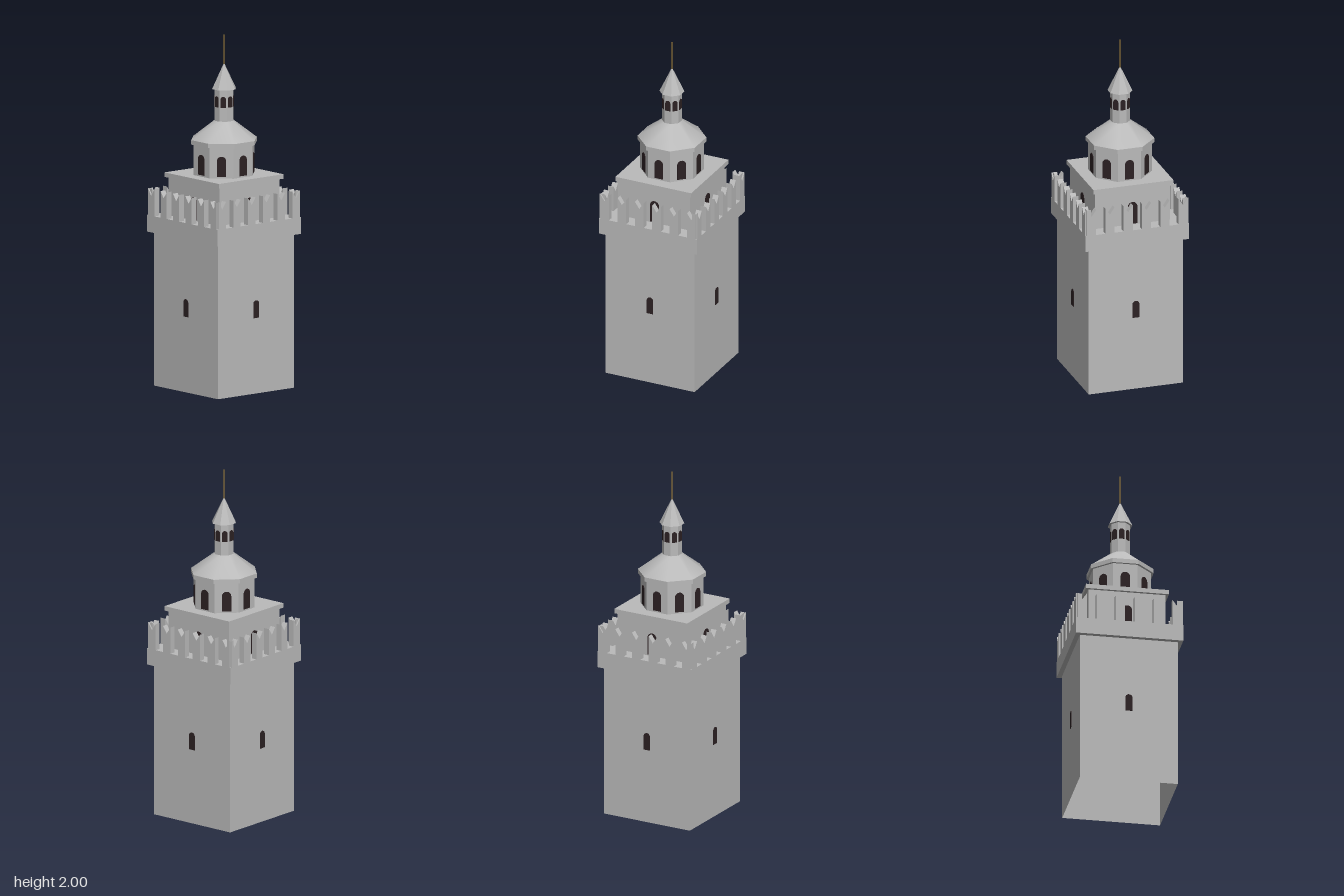
import * as THREE from 'three';

export function createModel() {
  const model = new THREE.Group();
  model.name = 'tower';

  const mat = (name, color, extra = {}) => {
    const m = new THREE.MeshStandardMaterial({ color, ...extra });
    m.name = name;
    return m;
  };
  const stone = mat('grey stone', 0xbababa, { side: THREE.DoubleSide });
  const dark = mat('dark opening', 0x2c2123);
  const gold = mat('gold', 0xb08a3c);

  const add = (name, geometry, material, y = 0, parent = model) => {
    const mesh = new THREE.Mesh(geometry, material);
    mesh.name = name;
    mesh.position.y = y;
    parent.add(mesh);
    return mesh;
  };

  // Square block between two heights
  const block = (name, half, y0, y1) =>
    add(name, new THREE.BoxGeometry(half * 2, y1 - y0, half * 2), stone, (y0 + y1) / 2);

  // Eight-sided frustum with flat sides facing the axes, sized by apothem
  const octagon = (name, bottom, top, y0, y1, smooth = false) => {
    const k = 1 / Math.cos(Math.PI / 8);
    let g = new THREE.CylinderGeometry(top * k, bottom * k, y1 - y0, 8, 1);
    g.rotateY(Math.PI / 8);
    if (!smooth) {
      g = g.toNonIndexed();
      g.computeVertexNormals();
    }
    return add(name, g, stone, (y0 + y1) / 2);
  };

  // Thin round-headed openings repeated around the tower
  const archRing = (name, count, distance, half, y0, y1) => {
    const s = new THREE.Shape();
    s.moveTo(-half, y0);
    s.lineTo(half, y0);
    s.lineTo(half, y1 - half);
    s.absarc(0, y1 - half, half, 0, Math.PI, false);
    s.closePath();
    const g = new THREE.ExtrudeGeometry(s, { depth: 0.006, bevelEnabled: false, curveSegments: 8 });
    g.translate(0, 0, distance - 0.003);
    for (let i = 0; i < count; i++) {
      add(name, g, dark).rotation.y = (i / count) * Math.PI * 2;
    }
  };

  // Shaft, open underneath
  const shaft = new THREE.CylinderGeometry(0.278 * Math.SQRT2, 0.278 * Math.SQRT2, 0.875, 4, 1, true)
    .rotateY(Math.PI / 4).toNonIndexed();
  shaft.computeVertexNormals();
  add('shaft', shaft, stone, 0.4375);
  archRing('shaftWindow', 4, 0.278, 0.02, 0.43, 0.53);

  // Overhanging terrace with swallow-tailed merlons
  block('terrace', 0.305, 0.875, 0.97);
  const m = new THREE.Shape([
    [-0.027, 0.97], [0.027, 0.97], [0.027, 1.122], [0, 1.083], [-0.027, 1.122],
  ].map(([x, y]) => new THREE.Vector2(x, y)));
  const merlon = new THREE.ExtrudeGeometry(m, { depth: 0.034, bevelEnabled: false });
  for (let side = 0; side < 4; side++) {
    const row = new THREE.Group();
    row.name = 'battlement';
    row.rotation.y = side * Math.PI / 2;
    for (let i = 0; i < 6; i++) {
      add('merlon', merlon, stone, 0, row).position.set((i - 2.5) * 0.108, 0, 0.271);
    }
    model.add(row);
  }

  // Square upper storey
  block('upperStorey', 0.22, 0.97, 1.187);
  block('upperSlab', 0.236, 1.187, 1.213);
  archRing('doorway', 4, 0.22, 0.028, 0.975, 1.105);

  // Eight-sided drum with its cornice and smooth roof
  octagon('drum', 0.165, 0.165, 1.213, 1.387);
  archRing('drumWindow', 8, 0.165, 0.026, 1.222, 1.337);
  octagon('cornice', 0.178, 0.178, 1.387, 1.412);
  octagon('drumRoof', 0.176, 0.05, 1.412, 1.517, true);

  // Lantern, spire and finial
  octagon('lantern', 0.052, 0.052, 1.51, 1.695);
  archRing('lanternWindow', 8, 0.052, 0.015, 1.595, 1.657);
  octagon('spire', 0.065, 0.001, 1.695, 1.84);
  add('finial', new THREE.CylinderGeometry(0.004, 0.004, 0.18, 8), gold, 1.91);

  return model;
}
